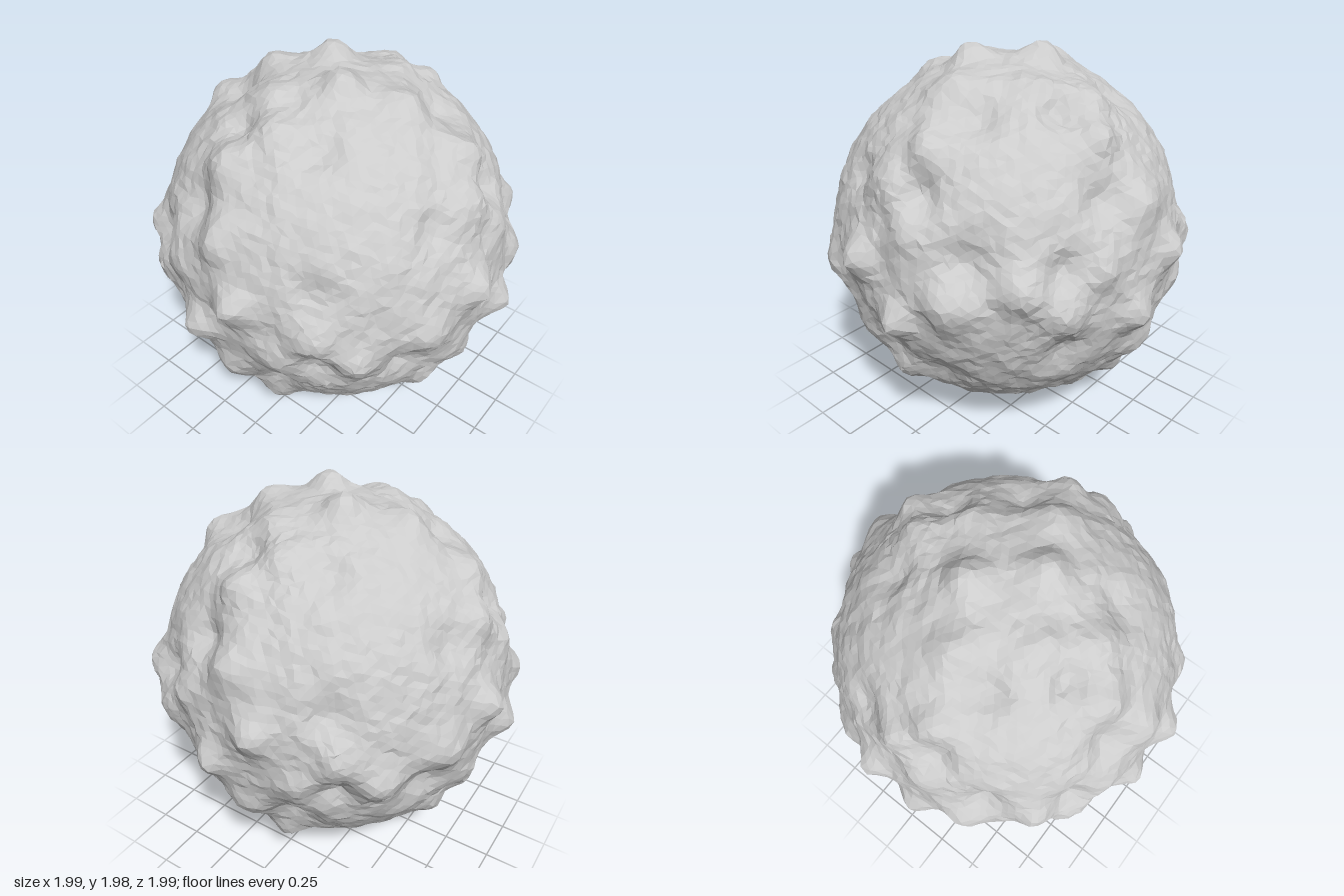
import * as THREE from 'three';
import { mergeVertices } from 'three/addons/utils/BufferGeometryUtils.js';

// Surface features: direction, height, angular width. Each repeats 12 times.
const features = [
  [[-0.13, 0.13, 0.98], 0.088, 0.07],   // paired knobs on the axes
  [[0.12, 0.67, 0.69], 0.07, 0.075],    // knobs on the diagonals
  [[0.16, 0.33, 0.90], 0.035, 0.075],   // low knobs
  [[0.39, 0.03, 0.91], 0.04, 0.075],
  [[-0.05, 0.52, 0.82], 0.035, 0.075],
  [[0.50, 0.84, 0.05], 0.03, 0.10],     // shoulders
  [[0.87, 0.45, 0.0], 0.03, 0.10],
  [[0.18, 0.50, 0.80], -0.065, 0.075],  // pits
  [[0.47, 0.24, 0.81], -0.07, 0.085],
  [[-0.28, 0.49, 0.82], -0.045, 0.075],
  [[0.0, 0.36, 0.93], -0.015, 0.08],
];

// Twelve turns: half turns about the axes, and thirds about the diagonal
function repeats([x, y, z]) {
  const out = [];
  for (const [a, b, c] of [[x, y, z], [z, x, y], [y, z, x]]) {
    for (const [i, j, k] of [[1, 1, 1], [-1, -1, 1], [-1, 1, -1], [1, -1, -1]]) {
      out.push(new THREE.Vector3(a * i, b * j, c * k).normalize());
    }
  }
  return out;
}

function seeded(seed) {
  return () => {
    seed = (seed * 16807) % 2147483647;
    return seed / 2147483647;
  };
}

export function createModel() {
  const group = new THREE.Group();
  group.name = 'knobblySphere';

  let geo = new THREE.IcosahedronGeometry(1, 27);
  geo.deleteAttribute('uv');
  geo.deleteAttribute('normal');
  geo = mergeVertices(geo, 1e-4);

  const bumps = features.flatMap(([dir, height, width]) =>
    repeats(dir).map((d) => ({ d, height, width })));
  const rand = seeded(71);
  const pos = geo.attributes.position;
  const v = new THREE.Vector3();

  // Push each vertex in or out, with slight roughness
  for (let i = 0; i < pos.count; i++) {
    v.fromBufferAttribute(pos, i);
    v.x += (rand() - 0.5) * 0.022;
    v.y += (rand() - 0.5) * 0.022;
    v.z += (rand() - 0.5) * 0.022;
    v.normalize();
    let r = 0.92;
    for (const { d, height, width } of bumps) {
      r += height * Math.exp(-v.distanceToSquared(d) / (2 * width * width));
    }
    r += 0.004 * (Math.sin(27 * v.x) * Math.sin(25 * v.y + 1) + Math.sin(29 * v.z + 2) * Math.sin(26 * v.x));
    r += (rand() - 0.5) * 0.01;
    pos.setXYZ(i, v.x * r, v.y * r + 1, v.z * r);
  }
  geo.computeVertexNormals();

  const shell = new THREE.Mesh(geo, new THREE.MeshStandardMaterial({ color: 0xcccccc, flatShading: true }));
  shell.name = 'shell';
  group.add(shell);
  return group;
}
